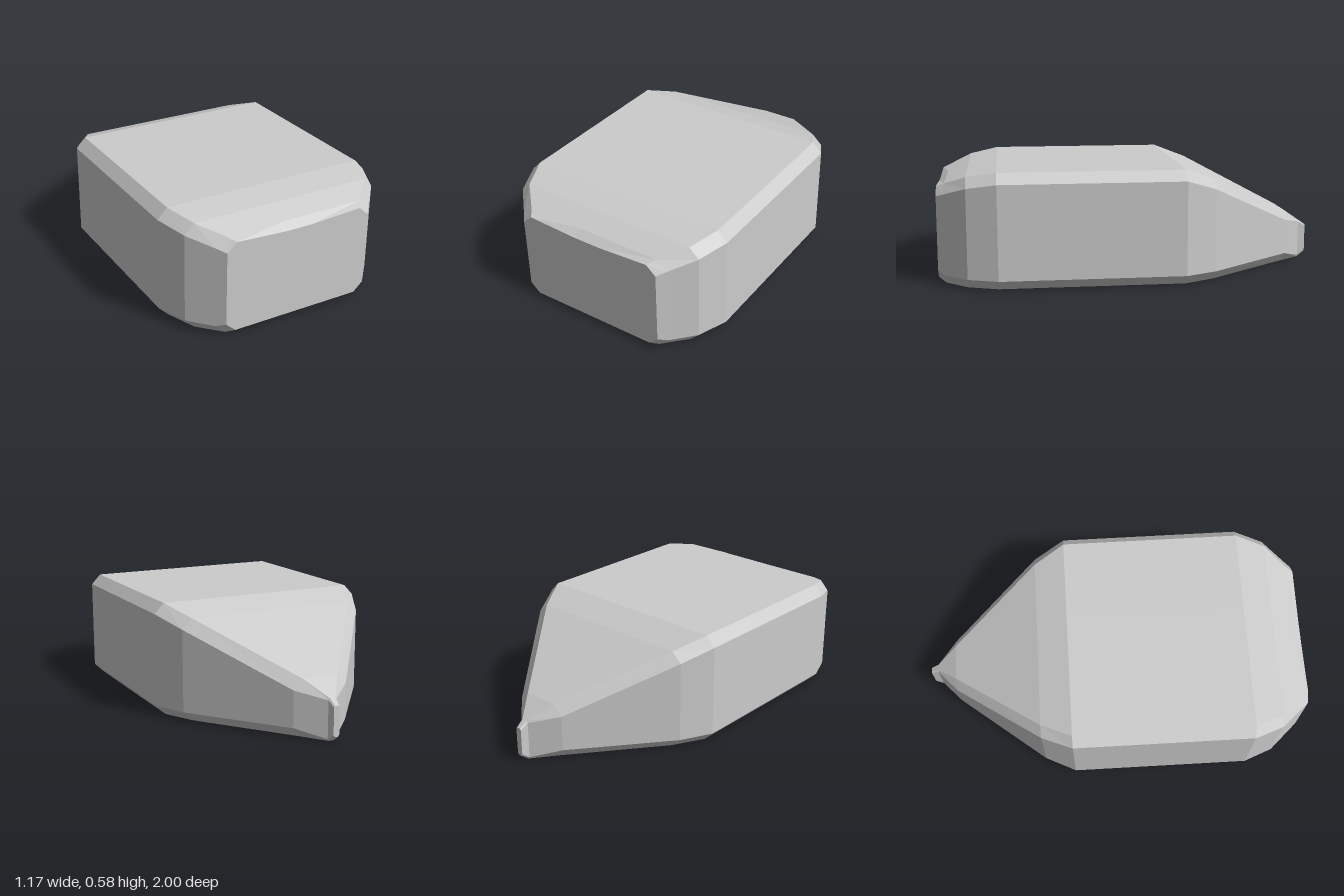
import * as THREE from 'three';

// Cross-sections from front to back:
// z, half width, half width of flat top/bottom, bottom, lower bevel, upper bevel, top, top at middle
const sections = [
  [1.0, 0.39, 0.34, 0.025, 0.07, 0.445, 0.49, 0.475],
  [0.96, 0.425, 0.37, 0, 0.05, 0.46, 0.506, 0.506],
  [0.85, 0.525, 0.475, 0, 0.05, 0.5, 0.55, 0.55],
  [0.7, 0.583, 0.533, 0, 0.05, 0.525, 0.577, 0.577],
  [-0.23, 0.583, 0.533, 0, 0.05, 0.525, 0.577, 0.577],
  [-0.39, 0.505, 0.45, 0, 0.05, 0.47, 0.52, 0.52],
  [-0.85, 0.145, 0.095, 0, 0.05, 0.235, 0.285, 0.285],
  [-0.96, 0.022, 0.015, 0, 0.01, 0.2, 0.21, 0.21],
  [-1.0, 0.016, 0.01, 0.03, 0.04, 0.175, 0.182, 0.182],
];

// Bevelled outline, counter-clockwise seen from the front
function ring([z, w, f, bottom, low, high, top, middle]) {
  const half = [[f, bottom], [w, low], [w, high], [f, top], [f * 0.2, middle]];
  const mirrored = half.map(([x, y]) => [-x, y]).reverse();
  return [...half, ...mirrored].map(([x, y]) => [x, y, z]);
}

function loft(rings) {
  const n = rings[0].length;
  const positions = rings.flat(2);
  const index = [];
  for (let s = 0; s < rings.length - 1; s++) {
    for (let i = 0; i < n; i++) {
      const a = s * n + i, b = s * n + (i + 1) % n;
      index.push(a, a + n, b, b, a + n, b + n);
    }
  }
  // Flat end caps
  const last = (rings.length - 1) * n;
  [rings[0], rings[rings.length - 1]].forEach((r, end) => {
    const centre = positions.length / 3;
    positions.push(0, (r[0][1] + r[3][1]) / 2, r[0][2]);
    for (let i = 0; i < n; i++) {
      const j = (i + 1) % n;
      if (end === 0) index.push(centre, i, j);
      else index.push(centre, last + j, last + i);
    }
  });
  const geometry = new THREE.BufferGeometry();
  geometry.setAttribute('position', new THREE.Float32BufferAttribute(positions, 3));
  geometry.setIndex(index);
  const faceted = geometry.toNonIndexed();
  faceted.computeVertexNormals();
  return faceted;
}

export function createModel() {
  const group = new THREE.Group();
  group.name = 'bevelledWedge';
  const body = new THREE.Mesh(
    loft(sections.map(ring)),
    new THREE.MeshStandardMaterial({ color: 0xcccccc, flatShading: true })
  );
  body.name = 'body';
  group.add(body);
  return group;
}
